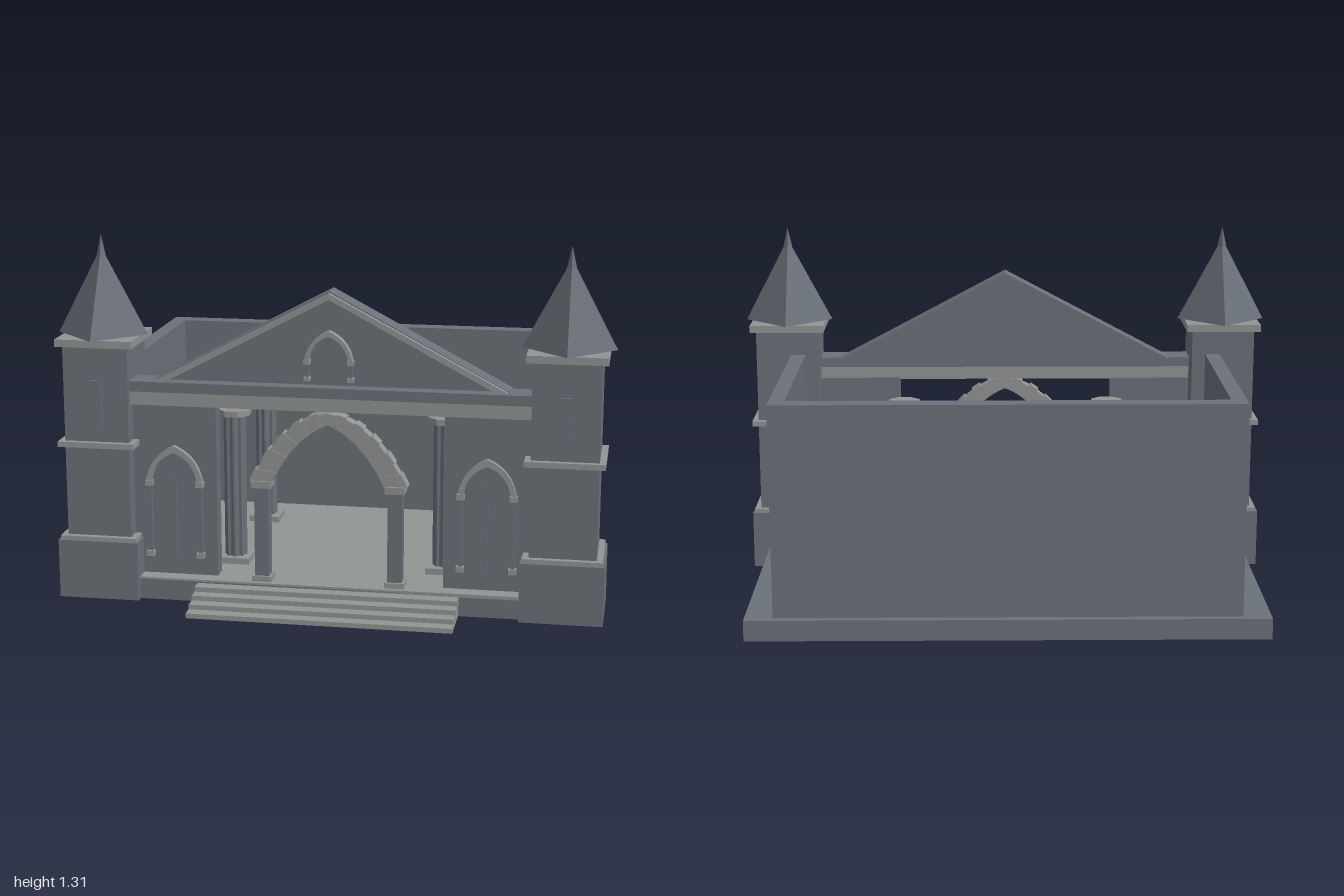
import * as THREE from 'three';

const slate = new THREE.MeshStandardMaterial({ color: 0x6b7179 });
slate.name = 'slate stone';
const pale = new THREE.MeshStandardMaterial({ color: 0x919594 });
pale.name = 'pale stone';

function add(parent, name, geo, mat) {
  const m = new THREE.Mesh(geo, mat);
  m.name = name;
  parent.add(m);
  return m;
}

// Box given by its limits on each axis
function box(parent, name, mat, x0, x1, y0, y1, z0, z1) {
  const m = add(parent, name, new THREE.BoxGeometry(x1 - x0, y1 - y0, z1 - z0), mat);
  m.position.set((x0 + x1) / 2, (y0 + y1) / 2, (z0 + z1) / 2);
  return m;
}

// Flat outline extruded from z0 to z1
function slab(parent, name, mat, pts, z0, z1) {
  const shape = new THREE.Shape(pts.map(p => new THREE.Vector2(p[0], p[1])));
  const geo = new THREE.ExtrudeGeometry(shape, { depth: z1 - z0, bevelEnabled: false });
  geo.translate(0, 0, z0);
  return add(parent, name, geo, mat);
}

// Points on a half arch, from the springing to the crown
function halfArch(a, c, b, n) {
  const v = p => new THREE.Vector2(p[0], p[1]);
  return new THREE.QuadraticBezierCurve(v(a), v(c), v(b)).getPoints(n);
}

// Thin pointed frame with colonnettes, centred on its own x = 0
function pointedFrame(name, half, foot, spring, top, t, z0, z1) {
  const g = new THREE.Group();
  g.name = name;
  const out = halfArch([half, spring], [half * 0.85, spring + (top - spring) * 0.72], [0, top], 8);
  const inn = halfArch([half - t, spring], [(half - t) * 0.85, spring + (top - t - spring) * 0.72], [0, top - t * 1.3], 8);
  const mir = p => [-p.x, p.y];
  const own = p => [p.x, p.y];
  slab(g, 'pointedArch', pale, [
    ...out.map(own), ...out.slice(0, -1).reverse().map(mir),
    ...inn.map(mir), ...inn.slice(0, -1).reverse().map(own),
  ], z0, z1);
  for (const s of [-1, 1]) {
    const x = s * (half - t / 2);
    box(g, 'colonnette', slate, x - t * 0.4, x + t * 0.4, foot + t, spring - t, z0, z1 - 0.004);
    box(g, 'colonnetteCapital', pale, x - t * 0.7, x + t * 0.7, spring - t, spring, z0, z1 + 0.004);
    box(g, 'colonnetteBase', pale, x - t * 0.7, x + t * 0.7, foot, foot + t, z0, z1 + 0.004);
  }
  return g;
}

function tower(side) {
  const g = new THREE.Group();
  g.name = side > 0 ? 'leftTower' : 'rightTower';
  g.position.set(side * 0.833, 0, 0.345);
  const block = (name, mat, h, y0, y1) => box(g, name, mat, -h, h, y0, y1, -h, h);
  block('towerBase', slate, 0.147, 0, 0.215);
  block('towerShaft', slate, 0.118, 0.215, 0.93);
  block('lowerBand', pale, 0.14, 0.215, 0.23);
  block('middleBand', pale, 0.14, 0.56, 0.58);
  block('topBand', pale, 0.14, 0.925, 0.952);
  const cone = (name, r, y0, y1) => {
    const geo = new THREE.ConeGeometry(r, y1 - y0, 4).toNonIndexed();
    geo.computeVertexNormals();
    add(g, name, geo, slate).position.y = (y0 + y1) / 2;
  };
  cone('towerRoof', 0.165, 0.953, 1.265);
  cone('roofSpike', 0.017, 1.235, 1.31);
  box(g, 'towerWindow', slate, -0.022, 0.022, 0.63, 0.805, 0.118, 0.127);
  return g;
}

// Fluted column with square base and octagonal capital
function hallColumn(x, z) {
  const g = new THREE.Group();
  g.name = 'hallColumn';
  g.position.set(x, 0, z);
  box(g, 'columnBase', pale, -0.06, 0.06, 0.08, 0.105, -0.06, 0.06);
  const pts = [];
  for (let i = 0; i < 32; i++) {
    const r = i % 4 < 2 ? 0.041 : 0.034, a = i / 32 * Math.PI * 2;
    pts.push([r * Math.cos(a), r * Math.sin(a)]);
  }
  const shaft = slab(g, 'columnShaft', slate, pts, 0.105, 0.64);
  shaft.rotation.x = -Math.PI / 2;
  const cap = new THREE.CylinderGeometry(0.063, 0.063, 0.022, 8).toNonIndexed();
  cap.rotateY(Math.PI / 8);
  cap.computeVertexNormals();
  add(g, 'columnCapital', cap, pale).position.y = 0.65;
  return g;
}

export function createModel() {
  const root = new THREE.Group();
  root.name = 'gatehouseHall';

  // Plinth, floor and steps
  box(root, 'plinth', slate, -0.92, 0.92, 0, 0.075, -0.645, 0.3);
  box(root, 'frontPlinth', slate, -0.72, 0.72, 0, 0.075, 0.3, 0.463);
  box(root, 'floor', pale, -0.765, 0.765, 0.07, 0.082, -0.55, 0.345);
  box(root, 'porchFloor', pale, -0.7, 0.7, 0.07, 0.082, 0.345, 0.463);
  for (let i = 0; i < 4; i++) {
    box(root, 'step', pale, -0.472, 0.472, i * 0.0175, (i + 1) * 0.0175, 0.44, 0.645 - i * 0.045);
  }

  // Hall walls
  box(root, 'backWall', slate, -0.82, 0.82, 0.075, 0.835, -0.617, -0.55);
  for (const s of [-1, 1]) {
    const x = s * 0.7925;
    box(root, 'sideWall', slate, x - 0.0275, x + 0.0275, 0.075, 0.835, -0.55, 0.345);
    const fx = s * 0.58;
    box(root, 'frontWall', slate, fx - 0.17, fx + 0.17, 0.08, 0.72, 0.345, 0.405);

    // Side doorway
    const door = pointedFrame('sideDoorway', 0.103, 0.15, 0.435, 0.565, 0.02, 0.4, 0.425);
    door.position.x = s * 0.563;
    box(door, 'doorSlit', slate, -0.004, 0.004, 0.15, 0.46, 0.405, 0.413);
    root.add(door);

    for (const z of [-0.34, 0.205]) root.add(hallColumn(s * 0.388, z));
    root.add(tower(s));
  }

  // Entablature
  box(root, 'frieze', pale, -0.72, 0.72, 0.715, 0.765, 0.345, 0.435);
  box(root, 'cornice', slate, -0.72, 0.72, 0.765, 0.802, 0.335, 0.445);

  // Pediment
  const chevron = (w, h, t) => [[-w, 0.8], [-w + t * 2, 0.8], [0, h - t], [w - t * 2, 0.8], [w, 0.8], [0, h]];
  slab(root, 'gableRoof', slate, chevron(0.635, 1.137, 0.03), 0.305, 0.395);
  slab(root, 'gableTrim', pale, chevron(0.63, 1.132, 0.022), 0.395, 0.413);
  slab(root, 'tympanum', slate, [[-0.6, 0.8], [0.6, 0.8], [0, 1.118]], 0.335, 0.39);
  root.add(pointedFrame('gableNiche', 0.085, 0.82, 0.895, 1.0, 0.015, 0.385, 0.42));

  // Central arch made of alternating blocks
  const arch = new THREE.Group();
  arch.name = 'centralArch';
  root.add(arch);
  const n = 10;
  const outer = halfArch([0.278, 0.455], [0.17, 0.68], [0, 0.71], n);
  const inner = halfArch([0.2, 0.455], [0.115, 0.625], [0, 0.668], n);
  for (const s of [-1, 1]) {
    for (let i = 0; i < n; i++) {
      const k = i % 2 ? 0 : 0.007;
      const grow = j => {
        const d = outer[j].clone().sub(inner[j]).setLength(k);
        return [s * (outer[j].x + d.x), outer[j].y + d.y];
      };
      slab(arch, 'archBlock', pale, [
        [s * inner[i].x, inner[i].y], grow(i), grow(i + 1), [s * inner[i + 1].x, inner[i + 1].y],
      ], 0.385, 0.435 + k * 0.6);
    }
    const x = s * 0.24;
    box(arch, 'archPierBase', pale, x - 0.035, x + 0.035, 0.08, 0.102, 0.377, 0.447);
    box(arch, 'archPier', slate, x - 0.026, x + 0.026, 0.102, 0.43, 0.386, 0.438);
    box(arch, 'archPierCapital', pale, x - 0.036, x + 0.036, 0.43, 0.455, 0.376, 0.448);
  }
  return root;
}
